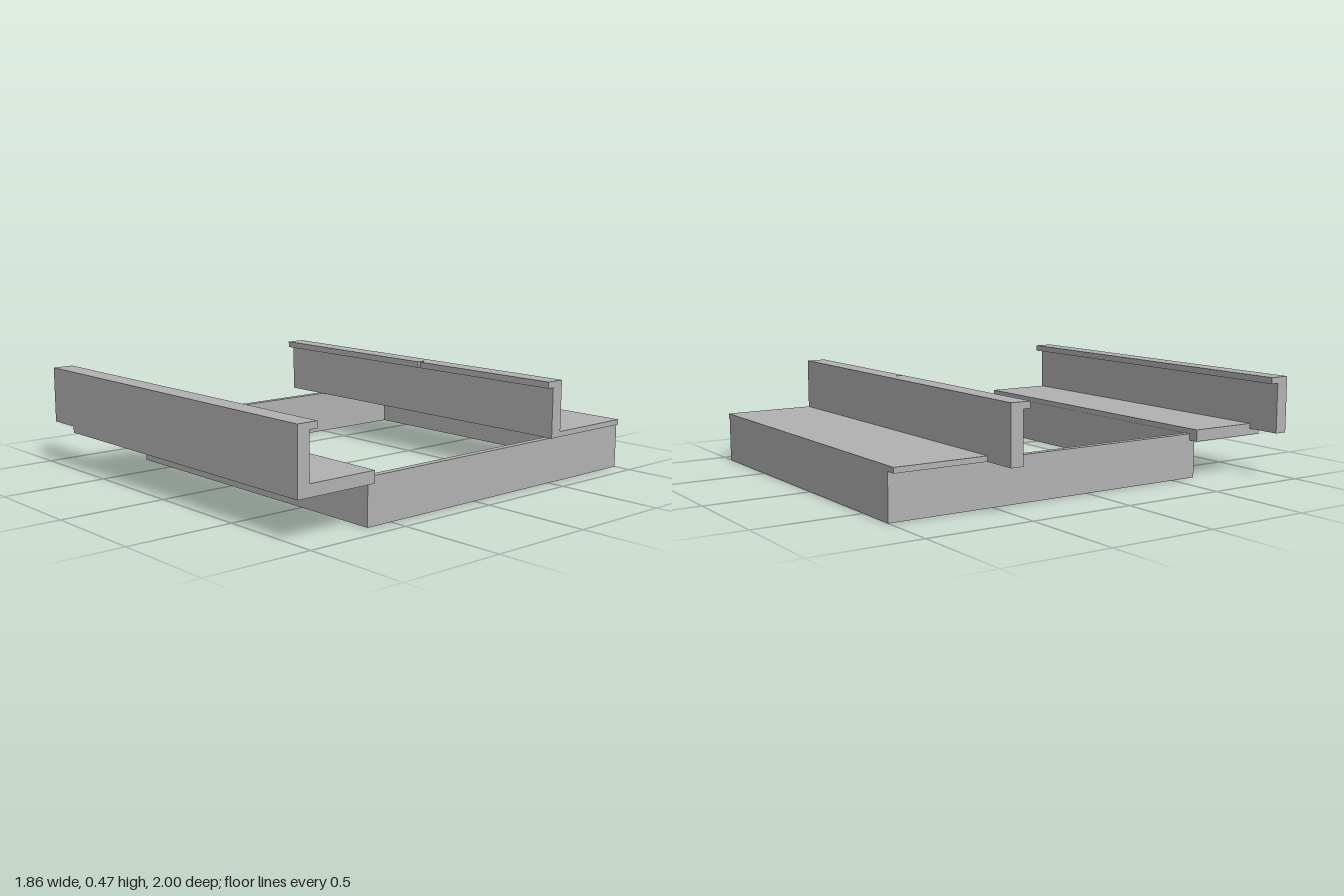
import * as THREE from 'three';

const BACK = -1, FRONT_WALL = 0.63;
const LEFT = 0.925, PLATE_END = -0.76, RAIL_END = -0.93;

export function createModel() {
  const model = new THREE.Group();
  model.name = 'steppedFrame';
  const grey = new THREE.MeshStandardMaterial({ color: 0xb2b2b2 });
  grey.name = 'grey';

  const add = (name, geometry) => {
    const mesh = new THREE.Mesh(geometry, grey);
    mesh.name = name;
    model.add(mesh);
  };

  // Extrudes a [z, y] profile along x
  const bar = (name, profile, x0, x1) => {
    const shape = new THREE.Shape(profile.map(([z, y]) => new THREE.Vector2(-z, y)));
    const g = new THREE.ExtrudeGeometry(shape, { depth: x1 - x0, bevelEnabled: false });
    g.rotateY(Math.PI / 2).translate(x0, 0, 0);
    add(name, g);
  };
  const rect = (z0, z1, y0, y1) => [[z0, y0], [z1, y0], [z1, y1], [z0, y1]];

  // Rectangular ring of thin walls
  const ring = (name, y0, y1) => {
    const corners = (i) => [
      [-0.71 + i, -FRONT_WALL + i], [0.915 - i, -FRONT_WALL + i],
      [0.915 - i, -BACK - i], [-0.71 + i, -BACK - i],
    ].map(([x, y]) => new THREE.Vector2(x, y));
    const shape = new THREE.Shape(corners(0));
    shape.holes.push(new THREE.Path(corners(0.032).reverse()));
    const g = new THREE.ExtrudeGeometry(shape, { depth: y1 - y0, bevelEnabled: false });
    g.rotateX(-Math.PI / 2).translate(0, y0, 0);
    add(name, g);
  };
  ring('frameWalls', 0.01, 0.21);
  ring('frameBottomStrip', 0, 0.01);

  // Front step: thick plate, upright rail and inward lip
  bar('frontPlate', rect(0.6, 0.94, 0.18, 0.235), PLATE_END, LEFT);
  bar('frontRailFoot', rect(0.94, 1, 0.18, 0.21), PLATE_END, LEFT);
  bar('frontRail', [[0.94, 0.21], [1, 0.21], [1, 0.475], [0.9, 0.475], [0.9, 0.445], [0.94, 0.445]],
    RAIL_END, LEFT);

  // Back step: thin plate, upright rail and forward lip with a small slot
  bar('backPlate', rect(BACK, -0.56, 0.21, 0.235), PLATE_END, LEFT);
  bar('backRail', rect(-0.56, -0.5, 0.21, 0.475), RAIL_END, LEFT);
  for (const [x0, x1] of [[RAIL_END, 0.095], [0.11, LEFT]]) {
    bar('backLip', rect(-0.5, -0.465, 0.445, 0.475), x0, x1);
  }

  return model;
}
